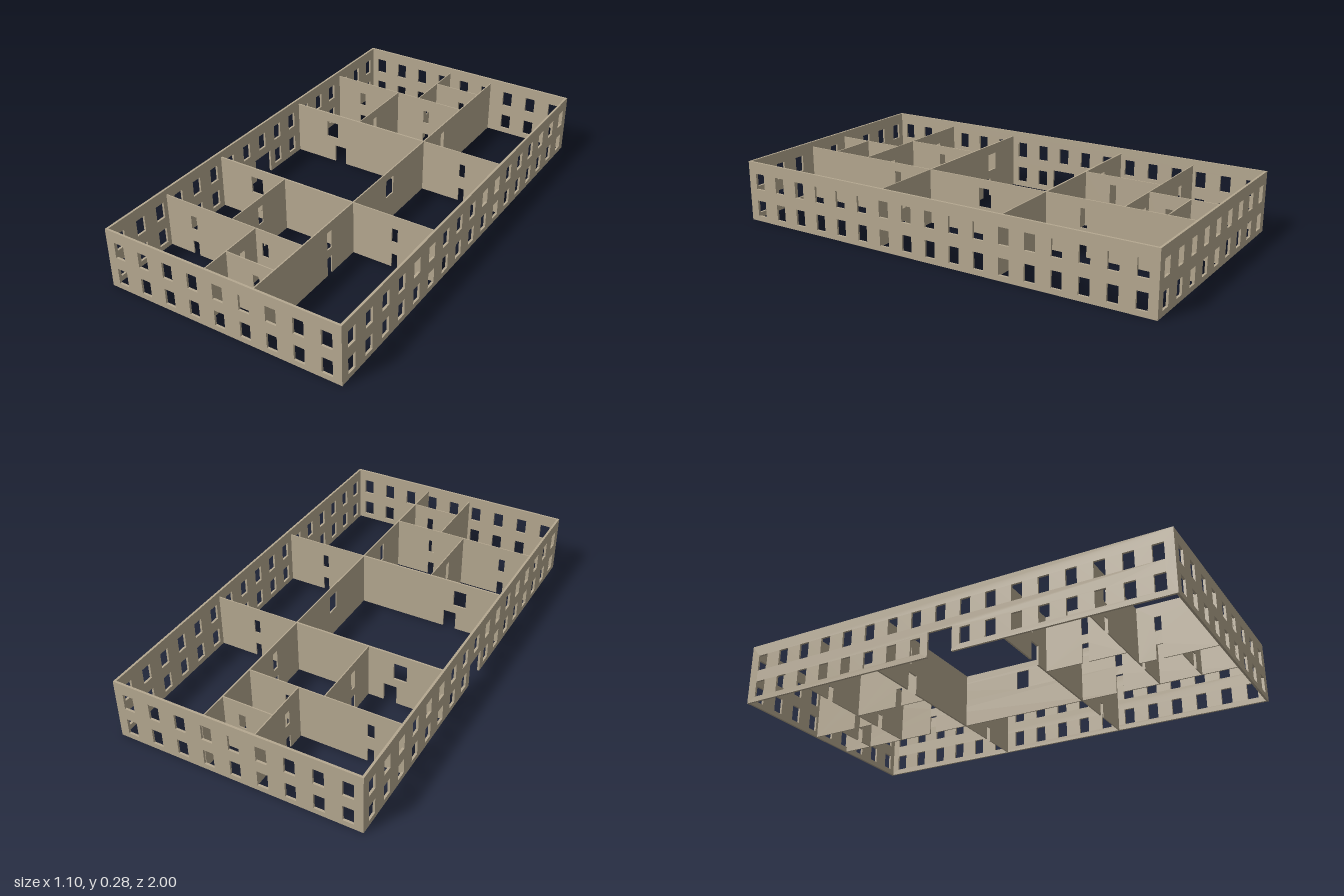
import * as THREE from 'three';

const FLOOR = 0.125; // storey height
const OUTER = 0.275, INNER = 0.25; // wall heights

// Opening: u = centre along the wall, y = sill, w, h. A sill at 0 becomes a notch in the outline.
const opening = (u, y, w, h) => ({ u, y, w, h });
const bothFloors = (u, w, h) => [opening(u, 0, w, h), opening(u, FLOOR, w, h)];

function wallGeometry(from, to, height, thickness, openings) {
  const shape = new THREE.Shape();
  shape.moveTo(from, 0);
  openings.filter(o => o.y === 0).sort((a, b) => a.u - b.u).forEach(({ u, w, h }) => {
    shape.lineTo(u - w / 2, 0);
    shape.lineTo(u - w / 2, h);
    shape.lineTo(u + w / 2, h);
    shape.lineTo(u + w / 2, 0);
  });
  shape.lineTo(to, 0);
  shape.lineTo(to, height);
  shape.lineTo(from, height);
  shape.closePath();
  openings.filter(o => o.y > 0).forEach(({ u, y, w, h }) => {
    const hole = new THREE.Path();
    hole.moveTo(u - w / 2, y);
    hole.lineTo(u - w / 2, y + h);
    hole.lineTo(u + w / 2, y + h);
    hole.lineTo(u + w / 2, y);
    hole.closePath();
    shape.holes.push(hole);
  });
  const geo = new THREE.ExtrudeGeometry(shape, { depth: thickness, bevelEnabled: false });
  return geo.translate(0, 0, -thickness / 2);
}

// Two rows of evenly spaced windows
function windows(count, spacing, skipLowerMiddle = false) {
  const list = [];
  const mid = (count - 1) / 2;
  for (let i = 0; i < count; i++) {
    const u = (i - mid) * spacing;
    list.push(opening(u, 0.15, 0.048, 0.073));
    if (!(skipLowerMiddle && i === mid)) list.push(opening(u, 0.024, 0.048, 0.073));
  }
  return list;
}

export function createModel() {
  const group = new THREE.Group();
  const plaster = new THREE.MeshStandardMaterial({ color: 0xb5a890 });
  plaster.name = 'beigePlaster';

  const add = (name, geo) => {
    const mesh = new THREE.Mesh(geo, plaster);
    mesh.name = name;
    group.add(mesh);
  };
  const alongX = (name, z, from, to, height, t, openings = []) =>
    add(name, wallGeometry(from, to, height, t, openings).translate(0, 0, z));
  const alongZ = (name, x, from, to, height, t, openings = []) =>
    add(name, wallGeometry(from, to, height, t, openings).rotateY(-Math.PI / 2).translate(x, 0, 0));

  // Outer shell, with the entrance in the middle of the right wall
  const T = 0.01, X = 0.55, Z = 1;
  alongX('frontWall', Z - T / 2, -X + T, X - T, OUTER, T, windows(9, 0.1217));
  alongX('backWall', -Z + T / 2, -X + T, X - T, OUTER, T, windows(9, 0.1217));
  alongZ('leftWall', X - T / 2, -Z, Z, OUTER, T, windows(17, 0.117));
  alongZ('rightWall', -X + T / 2, -Z, Z, OUTER, T,
    [...windows(17, 0.117, true), opening(0, 0, 0.115, 0.11)]);

  // Long spine wall
  const t = 0.005, spine = 0.146, xi = X - T, zi = Z - T;
  alongZ('spineWall', spine, -zi, zi, INNER, 0.006, [
    ...bothFloors(0.474, 0.032, 0.085),
    ...bothFloors(-0.482, 0.032, 0.085),
    opening(0, FLOOR, 0.06, 0.085),
  ]);

  // Partitions at each end of the building
  const ends = [
    { name: 'front', hall: 0.293, room: 0.654, closet: 0.839, end: zi, door: 0.474 },
    { name: 'back', hall: -0.302, room: -0.662, closet: -0.847, end: -zi, door: -0.44 },
  ];
  for (const e of ends) {
    const span = (a, b) => [Math.min(a, b), Math.max(a, b)];
    const s = spine - 0.003;
    const hallDoors = [opening(-0.345, FLOOR, 0.06, 0.08)];
    hallDoors.push(opening(-0.3, 0, 0.06, 0.085));
    alongX(e.name + 'HallWall', e.hall, -xi, s, INNER, 0.008, hallDoors);
    alongX(e.name + 'LargeRoomWall', e.hall, spine + 0.003, xi, INNER, t,
      bothFloors(0.348, 0.028, 0.065));
    alongX(e.name + 'RoomWall', e.room, -xi, s, INNER, t,
      [...bothFloors(-0.4, 0.03, 0.065), ...bothFloors(-0.035, 0.03, 0.065)]);
    alongX(e.name + 'ClosetWall', e.closet, -0.081, s, INNER, t,
      bothFloors(0.06, 0.03, 0.065));
    alongZ(e.name + 'MiddlePartition', -0.197, ...span(e.hall, e.room), INNER, t,
      bothFloors(e.door, 0.03, 0.085));
    alongZ(e.name + 'EndPartition', -0.081, ...span(e.room, e.end), INNER, t,
      bothFloors((e.room + e.closet) / 2, 0.03, 0.065));
  }
  return group;
}
